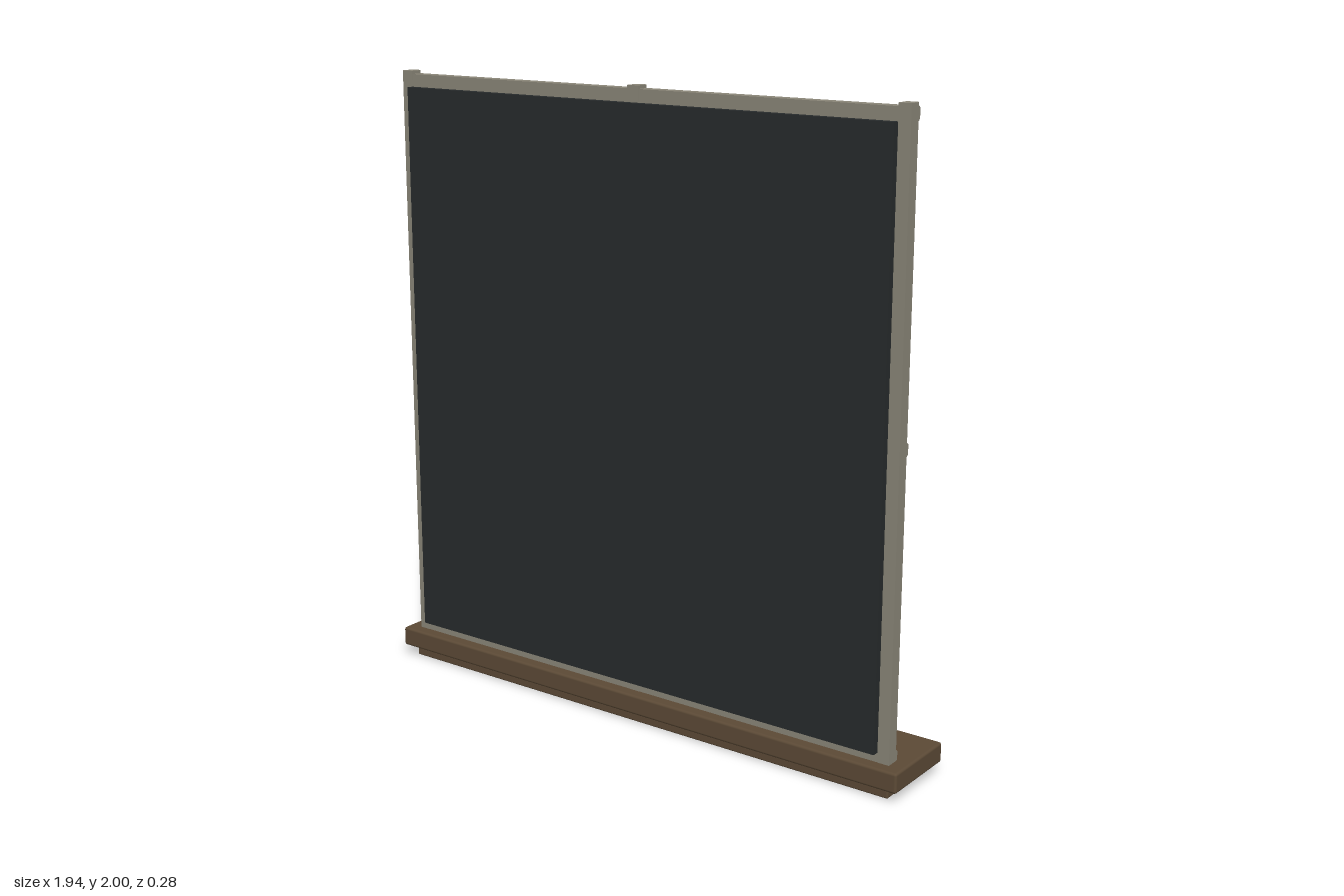
import * as THREE from 'three';
import { RoundedBoxGeometry } from 'three/addons/geometries/RoundedBoxGeometry.js';

const material = (color) => new THREE.MeshStandardMaterial({ color });

export function createModel() {
  const group = new THREE.Group();
  const wood = material(0x5c4a36);
  const paint = material(0x8a8678);
  const dark = material(0x272b2c);

  const add = (name, geometry, mat, x, y, z) => {
    const mesh = new THREE.Mesh(geometry, mat);
    mesh.name = name;
    mesh.position.set(x, y, z);
    group.add(mesh);
  };

  // Bar along z-facing profile: flat front, small chamfers on the two back edges
  const barGeometry = (length, width, depth) => {
    const w = width / 2, d = depth / 2, c = 0.006;
    const shape = new THREE.Shape([
      [-w, -d], [w, -d], [w, d - c], [w - c, d], [-w + c, d], [-w, d - c],
    ].map(([x, y]) => new THREE.Vector2(x, y)));
    const geometry = new THREE.ExtrudeGeometry(shape, { depth: length, bevelEnabled: false });
    geometry.translate(0, 0, -length / 2);
    return geometry.rotateX(-Math.PI / 2); // length to +y, chamfers to -z
  };

  // Sill board and the apron beneath it
  add('sill', new RoundedBoxGeometry(1.94, 0.064, 0.276, 2, 0.008), wood, 0, 0.067, 0);
  add('apron', new RoundedBoxGeometry(1.86, 0.04, 0.11, 2, 0.005), wood, 0, 0.02, 0.058);

  // Upright posts and centre bar
  for (const [name, x] of [['rightPost', -0.904], ['centreBar', 0], ['leftPost', 0.904]]) {
    add(name, barGeometry(1.902, 0.04, 0.046), paint, x, 1.049, 0.077);
  }

  // Horizontal rails, standing slightly proud of the posts at the back
  for (const [name, y] of [['bottomRail', 0.112], ['middleRail', 1.04], ['topRail', 1.97]]) {
    const rail = barGeometry(1.846, 0.04, 0.049).rotateZ(Math.PI / 2);
    add(name, rail, paint, 0, y, 0.0745);
  }

  // Dark panel covering the front of the frame
  add('panel', new THREE.BoxGeometry(1.77, 1.82, 0.023), dark, 0, 1.04, 0.1105);

  return group;
}
